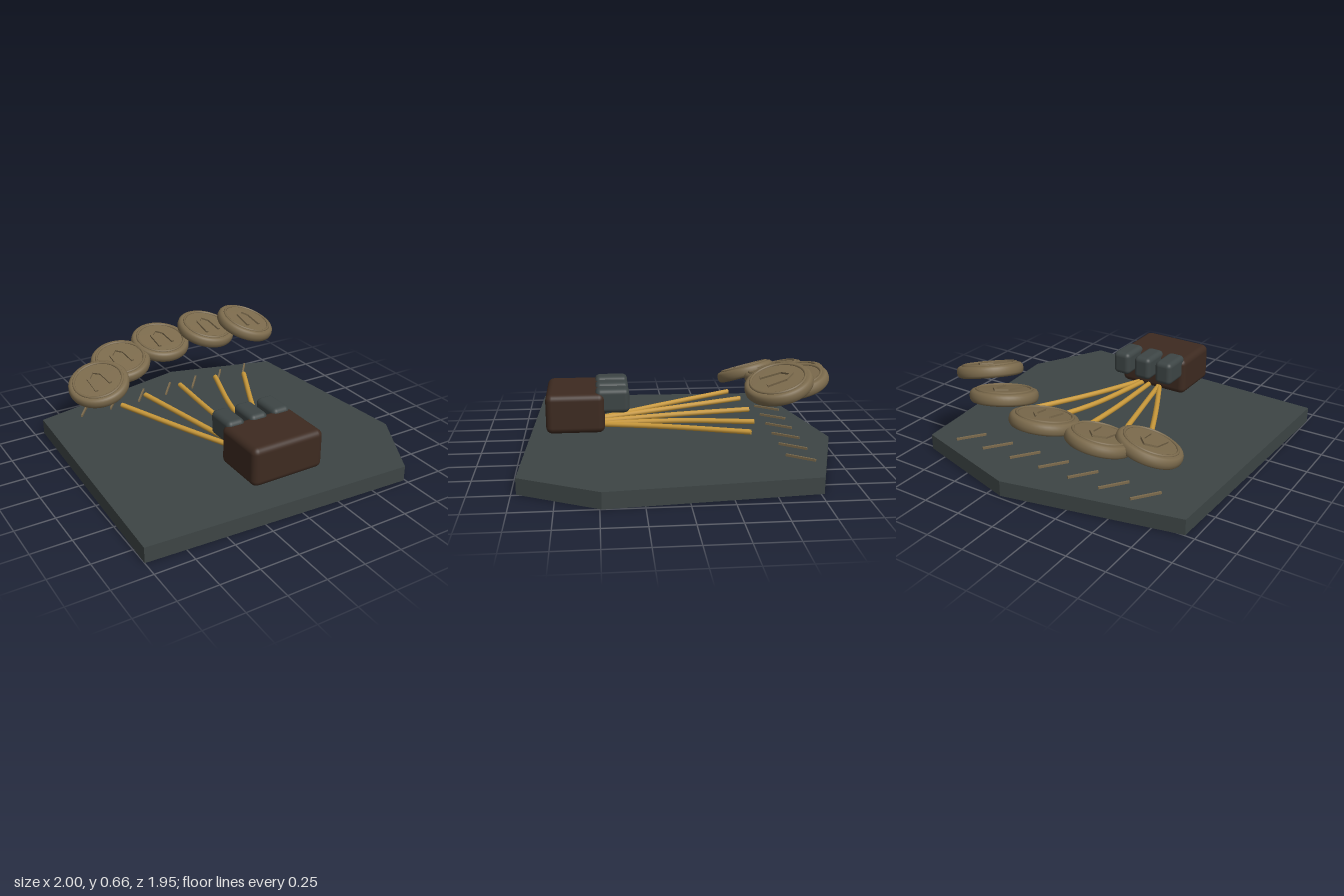
import * as THREE from 'three';
import { RoundedBoxGeometry } from 'three/addons/geometries/RoundedBoxGeometry.js';

const material = (name, color) => {
  const m = new THREE.MeshStandardMaterial({ color });
  m.name = name;
  return m;
};

export function createModel() {
  const slate = material('slate', 0x3d4545);
  const leather = material('dark leather', 0x3d2a20);
  const bronze = material('bronze', 0x7b6a4c);
  const gold = material('gold cord', 0xc8983a);

  const model = new THREE.Group();
  const add = (parent, name, geometry, mat, x = 0, y = 0, z = 0) => {
    const mesh = new THREE.Mesh(geometry, mat);
    mesh.name = name;
    mesh.position.set(x, y, z);
    parent.add(mesh);
    return mesh;
  };

  // Irregular stone slab
  const outline = [[-1, 0.89], [0.74, 0.97], [1, 0.49], [0.89, -0.77], [0.165, -0.98], [-0.94, -0.745]];
  const slab = new THREE.Shape(outline.map(([x, z]) => new THREE.Vector2(x, -z)));
  const slabGeometry = new THREE.ExtrudeGeometry(slab, { depth: 0.1, bevelEnabled: false });
  slabGeometry.rotateX(-Math.PI / 2);
  add(model, 'slab', slabGeometry, slate);

  // Palm block with three knuckles
  add(model, 'palm', new RoundedBoxGeometry(0.485, 0.25, 0.365, 4, 0.04), leather, -0.023, 0.305, 0.637);
  for (const x of [-0.185, -0.025, 0.135]) {
    add(model, 'knuckle', new RoundedBoxGeometry(0.122, 0.155, 0.21, 4, 0.032), slate, x, 0.378, 0.405);
  }

  // Gold cords fanning out from the palm, as [x, z] paths that rise gently
  const cords = [
    [[-0.06, 0.5], [-0.27, 0.08], [-0.5, -0.42]],
    [[-0.06, 0.5], [-0.195, -0.05], [-0.3, -0.475]],
    [[0.005, 0.5], [-0.025, -0.02], [-0.025, -0.49]],
    [[0.055, 0.5], [0.12, -0.03], [0.25, -0.475]],
    [[0.065, 0.5], [0.225, 0.07], [0.452, -0.42]],
  ];
  for (const path of cords) {
    const curve = new THREE.CatmullRomCurve3(path.map(([x, z]) => new THREE.Vector3(x, 0.22 - z * 0.045, z)));
    add(model, 'cord', new THREE.TubeGeometry(curve, 24, 0.017, 10), gold);
    // Closed ends
    for (const t of [0, 1]) {
      const cap = add(model, 'cordEnd', new THREE.CircleGeometry(0.017, 10), gold);
      cap.position.copy(curve.getPoint(t));
      const outward = curve.getTangent(t).multiplyScalar(t ? 1 : -1);
      cap.quaternion.setFromUnitVectors(new THREE.Vector3(0, 0, 1), outward);
    }
  }

  // Coin: rounded disc, raised ring and raised arch
  const profile = [
    [0, -0.037], [0.178, -0.037], [0.192, -0.032], [0.201, -0.02], [0.204, 0],
    [0.201, 0.02], [0.192, 0.032], [0.178, 0.037], [0, 0.037],
  ].map(([r, y]) => new THREE.Vector2(r, y));
  const discGeometry = new THREE.LatheGeometry(profile, 48);
  const ringGeometry = new THREE.TorusGeometry(0.162, 0.009, 8, 48);
  ringGeometry.rotateX(Math.PI / 2);
  const arch = [[-0.05, 0.09], [-0.053, -0.035], [-0.005, -0.085], [0.042, -0.04], [0.058, 0.07]];

  const addCoin = (x, y, z, roll) => {
    const coin = new THREE.Group();
    coin.name = 'coin';
    coin.position.set(x, y, z);
    coin.rotation.set(0.25, 0, roll);
    add(coin, 'disc', discGeometry, bronze);
    add(coin, 'ring', ringGeometry, bronze, 0, 0.037, 0);
    for (let i = 0; i < arch.length - 1; i++) {
      const [ax, az] = arch[i];
      const [bx, bz] = arch[i + 1];
      const length = Math.hypot(bx - ax, bz - az);
      const bar = add(coin, 'archBar', new THREE.BoxGeometry(length + 0.012, 0.018, 0.02), bronze,
        (ax + bx) / 2, 0.04, (az + bz) / 2);
      bar.rotation.y = -Math.atan2(bz - az, bx - ax);
    }
    model.add(coin);
  };

  // Fan of five floating coins, climbing to one side
  addCoin(-0.595, 0.36, -0.56, 0.24);
  addCoin(-0.362, 0.41, -0.715, 0.12);
  addCoin(-0.025, 0.46, -0.775, 0);
  addCoin(0.312, 0.51, -0.715, -0.12);
  addCoin(0.545, 0.56, -0.56, -0.24);

  // Row of thin slanted ticks hovering above the slab
  for (let i = 0; i < 7; i++) {
    const tick = add(model, 'tick', new THREE.BoxGeometry(0.19, 0.014, 0.012), bronze,
      -0.655 + i * 0.213, 0.127, -0.69);
    tick.rotation.y = Math.atan2(0.16, 0.12);
  }

  return model;
}
